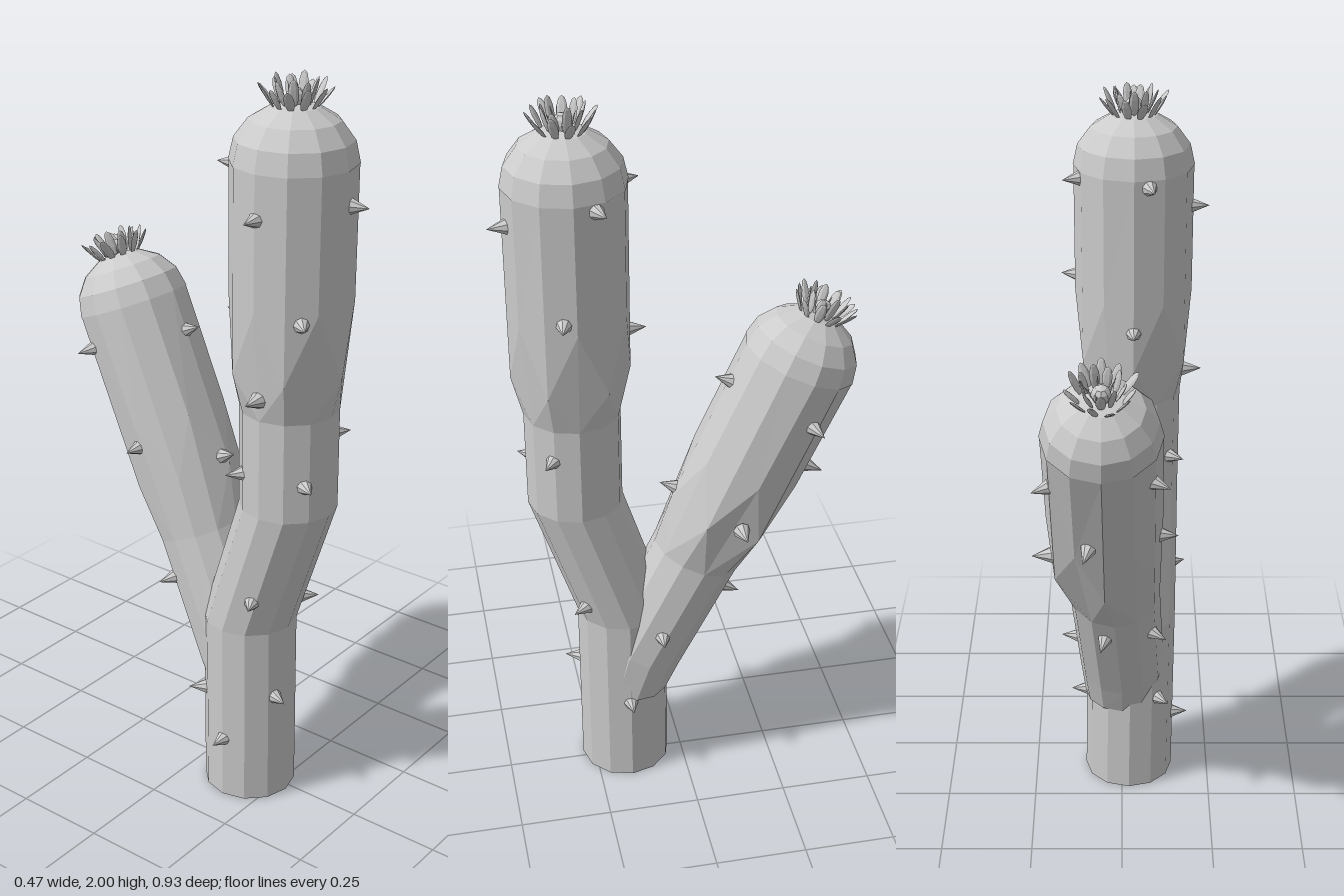
import * as THREE from 'three';

const SIDES = 12;
const mat = new THREE.MeshStandardMaterial({ color: 0xcccccc, flatShading: true });
const UP = new THREE.Vector3(0, 1, 0);

function mesh(geo, name, parent) {
  const m = new THREE.Mesh(geo, mat);
  m.name = name;
  parent.add(m);
  return m;
}

// ring: [x, y, z, radius, lean (radians about x), zigzag of odd corners]
function radial(lean, a) {
  return new THREE.Vector3(Math.sin(a), -Math.sin(lean) * Math.cos(a), Math.cos(lean) * Math.cos(a));
}
function axisOf(lean) {
  return new THREE.Vector3(0, Math.cos(lean), Math.sin(lean));
}

// Faceted tube lofted through the rings, closed at both ends
function stemGeometry(rings) {
  const pos = [], idx = [];
  for (const [x, y, z, r, lean, zig = 0] of rings) {
    for (let i = 0; i < SIDES; i++) {
      const p = radial(lean, (i / SIDES) * Math.PI * 2).multiplyScalar(r)
        .addScaledVector(axisOf(lean), i % 2 ? zig : 0);
      pos.push(p.x + x, p.y + y, p.z + z);
    }
  }
  for (let k = 0; k < rings.length - 1; k++) {
    for (let i = 0; i < SIDES; i++) {
      const a = k * SIDES + i, b = k * SIDES + (i + 1) % SIDES;
      const c = a + SIDES, d = b + SIDES;
      if (i % 2) idx.push(a, b, d, a, d, c);
      else idx.push(a, b, c, b, d, c);
    }
  }
  const last = (rings.length - 1) * SIDES;
  for (let i = 1; i < SIDES - 1; i++) {
    idx.push(0, i + 1, i, last, last + i, last + i + 1);
  }
  const g = new THREE.BufferGeometry();
  g.setAttribute('position', new THREE.Float32BufferAttribute(pos, 3));
  g.setIndex(idx);
  g.computeVertexNormals();
  return g;
}

// Cone thorns; each spot is [y on the stem axis, angle in degrees from the front towards +x]
function addThorns(rings, spots, parent) {
  const geo = new THREE.ConeGeometry(0.023, 0.055, 8);
  geo.translate(0, 0.018, 0);
  for (const [y, deg] of spots) {
    let k = 0;
    while (k < rings.length - 2 && rings[k + 1][1] < y) k++;
    const t = (y - rings[k][1]) / (rings[k + 1][1] - rings[k][1]);
    const [cx, cy, cz, r, lean] = [0, 1, 2, 3, 4].map(j => THREE.MathUtils.lerp(rings[k][j], rings[k + 1][j], t));
    const dir = radial(lean, THREE.MathUtils.degToRad(deg));
    const thorn = mesh(geo, 'thorn', parent);
    thorn.position.set(cx, cy, cz).addScaledVector(dir, r * 0.98);
    thorn.quaternion.setFromUnitVectors(UP, dir);
  }
}

// Flower: two rings of leaf-shaped petals, stamens and a round bud
function makeFlower() {
  const flower = new THREE.Group();
  flower.name = 'flower';
  const petalGeo = new THREE.SphereGeometry(1, 6, 5);
  petalGeo.scale(0.013, 0.034, 0.004);
  petalGeo.translate(0, 0.032, 0);
  const stamenGeo = new THREE.ConeGeometry(0.005, 0.05, 5);
  stamenGeo.translate(0, 0.02, 0);
  const around = (geo, name, count, radius, y, tilt, phase) => {
    for (let i = 0; i < count; i++) {
      const holder = new THREE.Group();
      holder.name = name + 'Holder';
      holder.rotation.y = ((i + phase) / count) * Math.PI * 2;
      const part = mesh(geo, name, holder);
      part.position.set(0, y, radius);
      part.rotation.x = tilt + 0.12 * Math.sin(i * 2.3);
      part.scale.y = 1 + 0.08 * Math.sin(i * 3.7);
      flower.add(holder);
    }
  };
  around(petalGeo, 'outerPetal', 11, 0.052, -0.011, 0.6, 0);
  around(petalGeo, 'innerPetal', 9, 0.036, -0.004, 0.3, 0.5);
  around(stamenGeo, 'stamen', 5, 0.02, 0, 0.45, 0.2);
  mesh(new THREE.SphereGeometry(0.025, 8, 6), 'bud', flower).position.y = 0.01;
  return flower;
}

// Stem with rounded cap, flower and thorns
function makeStem(name, rings, spots) {
  const group = new THREE.Group();
  group.name = name;
  mesh(stemGeometry(rings), name + 'Body', group);
  const [x, y, z, r, lean] = rings[rings.length - 1];
  const tip = new THREE.Group();
  tip.name = name + 'Tip';
  tip.position.set(x, y, z);
  tip.rotation.x = lean;
  const cap = mesh(new THREE.SphereGeometry(r * 1.01, SIDES, 4, 0, Math.PI * 2, 0, Math.PI / 2), 'cap', tip);
  cap.scale.y = 0.9;
  const flower = makeFlower();
  flower.position.y = r * 0.9;
  tip.add(flower);
  group.add(tip);
  addThorns(rings, spots, group);
  return group;
}

export function createModel() {
  const model = new THREE.Group();
  model.name = 'cactus';

  // Main trunk: straight foot, forward bend, thicker top
  model.add(makeStem('trunk', [
    [-0.02, 0.01, 0.16, 0.125, 0],
    [-0.025, 0.53, 0.16, 0.125, 0],
    [-0.028, 0.9, 0.28, 0.127, 0],
    [-0.03, 1.17, 0.28, 0.127, 0],
    [-0.03, 1.28, 0.28, 0.155, 0, 0.18],
    [-0.03, 1.8, 0.28, 0.156, 0],
  ], [
    [1.71, 10], [1.44, -45], [1.0, -35], [1.08, 57], [0.59, 40], [0.64, -65], [0.33, -20],
    [1.69, -90], [1.23, -90], [0.19, -90], [1.78, 112], [1.49, 78], [0.27, 90],
    [1.78, -165], [1.39, 180], [1.0, -125], [0.3, -140],
  ]));

  // Side arm: grows from the trunk towards the back
  model.add(makeStem('arm', [
    [0.0, 0.28, 0.145, 0.105, -0.1],
    [0.0, 0.4, 0.11, 0.118, -0.42],
    [0.02, 0.714, -0.037, 0.122, -0.4],
    [0.045, 0.857, -0.105, 0.15, -0.39, 0.16],
    [0.05, 1.3, -0.3, 0.151, -0.39],
  ], [
    [1.19, 115], [0.88, 95], [0.5, 85], [1.2, 2], [0.88, -5],
    [1.22, -120], [0.96, -95], [0.62, -125], [1.05, 165], [0.65, 165],
  ]));
  return model;
}
